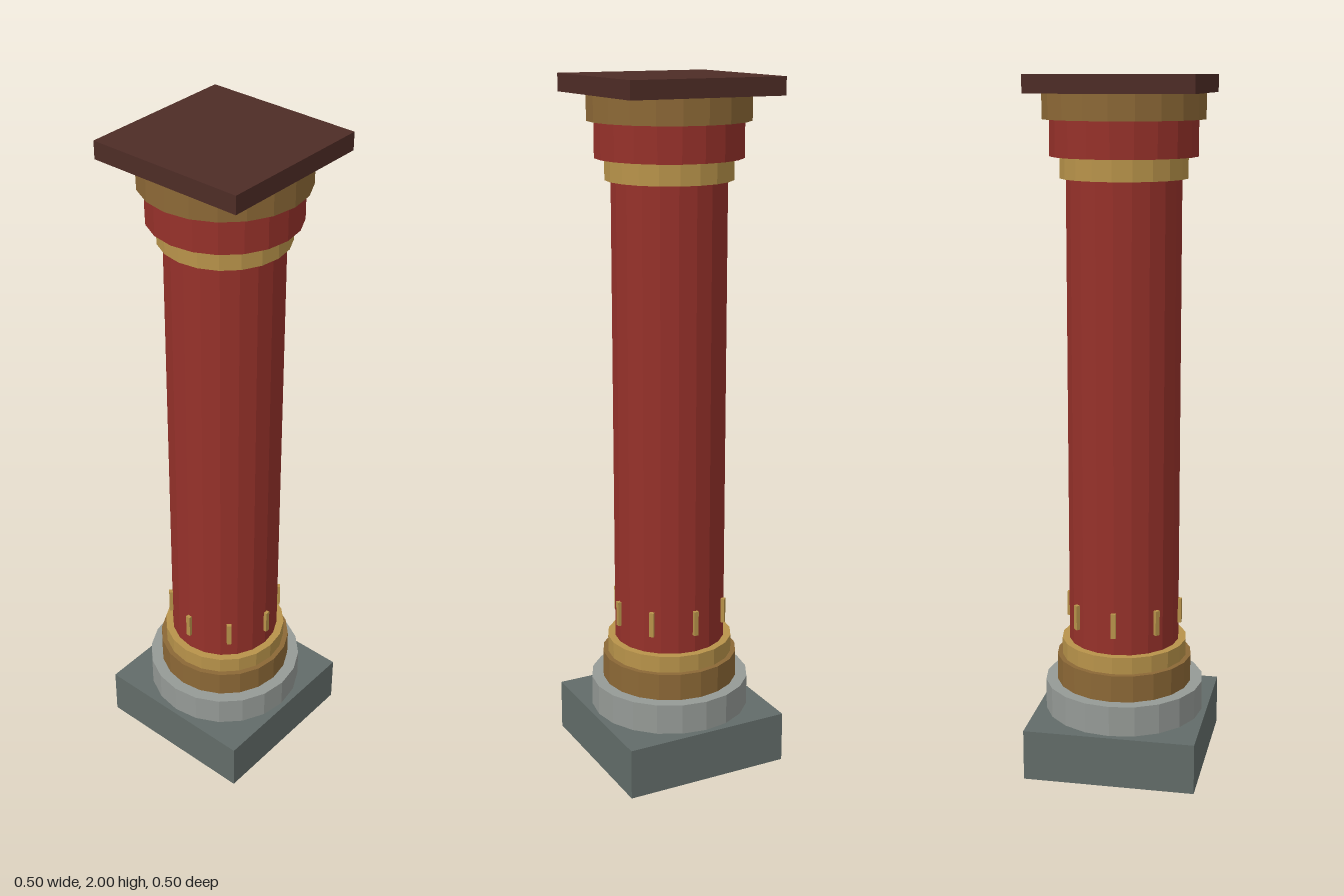
import * as THREE from 'three';

const SIDES = 20;
const paint = (color) => new THREE.MeshStandardMaterial({ color, flatShading: true });

export function createModel() {
  const column = new THREE.Group();
  column.name = 'column';

  const red = paint(0x96312a);
  const gold = paint(0xb8934a);
  const bronze = paint(0x8c6836);
  const paleStone = paint(0x959a96);
  const darkStone = paint(0x626c69);
  const darkWood = paint(0x4e2c26);

  const add = (name, geometry, material, y) => {
    const mesh = new THREE.Mesh(geometry, material);
    mesh.name = name;
    mesh.position.y = y;
    column.add(mesh);
    return mesh;
  };
  // Parts are given by their bottom and top heights
  const slab = (name, width, y0, y1, material) =>
    add(name, new THREE.BoxGeometry(width, y1 - y0, width), material, (y0 + y1) / 2);
  const drum = (name, radius, y0, y1, material) =>
    add(name, new THREE.CylinderGeometry(radius, radius, y1 - y0, SIDES), material, (y0 + y1) / 2);

  // Base
  slab('plinth', 0.5, 0, 0.15, darkStone);
  drum('stoneDrum', 0.235, 0.15, 0.24, paleStone);
  drum('lowerBronzeRing', 0.2, 0.24, 0.32, bronze);
  drum('lowerGoldRing', 0.185, 0.32, 0.37, gold);

  // Shaft
  drum('shaft', 0.163, 0.37, 1.72, red);

  // Capital
  drum('upperGoldRing', 0.18, 1.72, 1.78, gold);
  drum('capital', 0.208, 1.78, 1.88, red);
  drum('upperBronzeRing', 0.228, 1.88, 1.95, bronze);
  slab('abacus', 0.46, 1.95, 2, darkWood);

  // Eight small upright studs around the foot of the shaft
  const studGeometry = new THREE.BoxGeometry(0.014, 0.074, 0.014);
  for (let i = 0; i < 8; i++) {
    const angle = (i / 8) * Math.PI * 2;
    const stud = add('stud', studGeometry, gold, 0.46);
    stud.position.x = Math.sin(angle) * 0.165;
    stud.position.z = Math.cos(angle) * 0.165;
    stud.rotation.y = angle;
  }

  return column;
}
